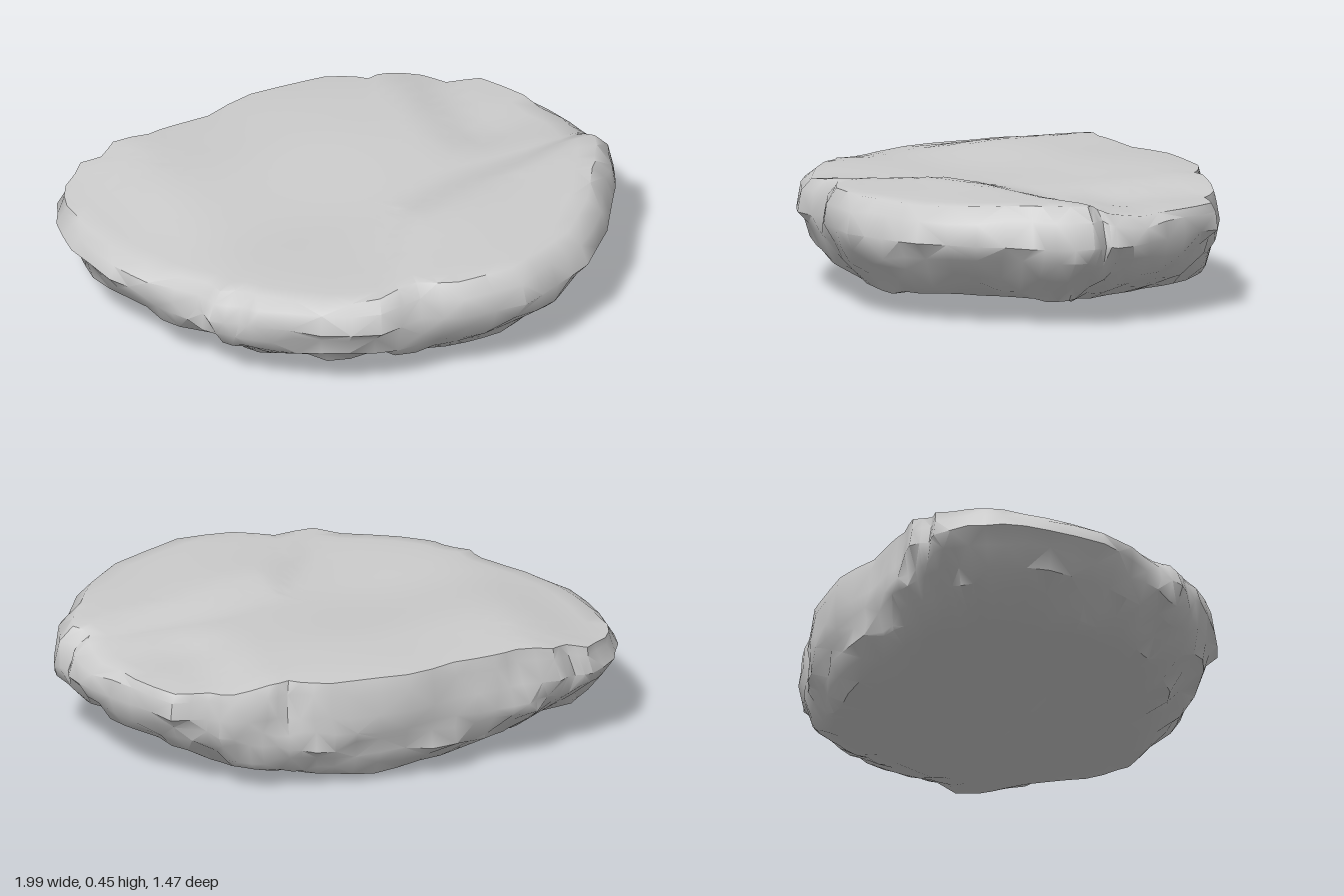
import * as THREE from 'three';
import { toCreasedNormals } from 'three/addons/utils/BufferGeometryUtils.js';

// plan outline of the slab at its widest, as x, z pairs
const OUTLINE = [
  [-1, -0.25], [-0.985, -0.42], [-0.94, -0.54], [-0.83, -0.63], [-0.76, -0.62], [-0.69, -0.67],
  [-0.55, -0.65], [-0.46, -0.67], [-0.3, -0.68], [-0.1, -0.74], [0.13, -0.74], [0.26, -0.71],
  [0.34, -0.655], [0.42, -0.67], [0.55, -0.64], [0.62, -0.575], [0.75, -0.55], [0.85, -0.38],
  [0.94, -0.2], [0.965, -0.06], [0.955, -0.02], [1, 0.04], [0.95, 0.17], [0.9, 0.24],
  [0.8, 0.42], [0.65, 0.59], [0.5, 0.66], [0.35, 0.73], [0.12, 0.73], [-0.03, 0.66],
  [-0.2, 0.695], [-0.4, 0.605], [-0.6, 0.48], [-0.64, 0.42], [-0.73, 0.36], [-0.75, 0.28],
  [-0.88, 0.12], [-0.95, -0.02],
];
// side rings: scale all round, scale along the back, height, roughness
const SIDE = [
  [0.975, 0.985, 0.375, 0.01], [0.995, 0.995, 0.305, 0.012], [0.965, 0.995, 0.245, 0.026],
  [0.915, 0.985, 0.19, 0.03], [0.85, 0.965, 0.14, 0.032], [0.77, 0.93, 0.092, 0.03],
];
// underside rings: scale all round, scale along the back, height above the belly, roughness
const UNDER = [
  [0.66, 0.86, 0.006, 0.026], [0.48, 0.64, 0, 0.03], [0.3, 0.4, 0, 0.02], [0.13, 0.17, 0, 0.01],
];
const TOP_RINGS = 14, SEGMENTS = 76;

const { smoothstep: smooth, lerp } = THREE.MathUtils;

// repeatable pseudo-random value from -1 to 1
function hash(a, b) {
  const s = Math.sin(a * 127.1 + b * 311.7 + 4.3) * 43758.5453;
  return (s - Math.floor(s)) * 2 - 1;
}

// upper face: back plateau, low left rim, low back corner and raised front layer
function topHeight(x, z) {
  const waves = 0.005 * Math.sin(x * 7 + z * 4) * Math.cos(z * 6 - x * 2);
  const left = smooth(x, -0.92, -0.55);
  const plateau = left * lerp(0.02, 0.052, smooth(-z, -0.15, 0.4));
  const corner = 0.042 * smooth(x, 0.36, 0.6) * smooth(-z, 0, 0.25);
  const floor = 0.392 + plateau - corner;
  const crackZ = x < 0.12 ? 0.27 - (x - 0.12) * 1.35 : 0.27 - (x - 0.12) * 0.38;
  const width = lerp(0.2, 0.05, smooth(x, 0.3, 0.85));
  const layer = 0.456 - 0.016 * smooth(z, 0.2, 0.65);
  return lerp(floor, layer, smooth(z - crackZ, -width, 0.05)) + waves;
}

// underside: lowest just behind the middle, rising to the ends and the front
function bellyHeight(x, z) {
  const lumps = 0.009 * Math.sin(x * 11 + z * 4) * Math.cos(z * 10 - x * 5);
  return 0.012 + 0.046 * Math.min(1, Math.abs(x + 0.04) / 0.65) + 0.033 * smooth(z, -0.06, 0.12)
    + 0.018 * smooth(-z, 0.08, 0.5) + lumps;
}

// outline softened by averaging neighbours, so notches in the rim fade out below it
function soften(edge) {
  return edge.map((p, i) => {
    const sum = new THREE.Vector3();
    for (let k = -2; k <= 2; k++) sum.add(edge[(i + k + edge.length) % edge.length]);
    return sum.multiplyScalar(1.01 / 5);
  });
}

function slabGeometry() {
  const outline = new THREE.CatmullRomCurve3(
    OUTLINE.map(([x, z]) => new THREE.Vector3(x, 0, z)), true, 'catmullrom', 0.1);
  // two steps per outline point, so every corner is kept
  const edge = outline.getPoints(SEGMENTS).slice(0, SEGMENTS);
  const softEdge = soften(edge);
  const positions = [], index = [];
  const rings = TOP_RINGS + SIDE.length + UNDER.length;

  // upper face, from the middle out to the rim
  for (let r = 0; r < TOP_RINGS; r++) {
    const t = r / (TOP_RINGS - 1);
    edge.forEach((p, i) => {
      const s = t * (lerp(0.92, 0.965, smooth(-p.z, 0, 0.5)) + 0.008 * hash(i, 90));
      const x = p.x * s, z = p.z * s;
      positions.push(x, topHeight(x, z) - 0.006 * t ** 12, z);
    });
  }
  // chipped sides and rough underside
  [...SIDE, ...UNDER].forEach(([around, back, y, rough], r) => {
    (r < 2 ? edge : softEdge).forEach((p, i) => {
      const chunk = hash(Math.floor((i + r * 2) / 4), r) * 0.5 + hash(Math.floor((i + r) / 2), r + 20) * 0.6;
      const steep = smooth(-p.z, 0.3, 0.65) * (1 - smooth(Math.abs(p.x), 0.4, 0.85));
      const s = lerp(around, back, steep) + chunk * rough;
      const x = p.x * s, z = p.z * s;
      const under = r >= SIDE.length;
      const base = under ? bellyHeight(x, z) : hash(Math.floor((i + r) / 2), r + 50) * rough * 0.6;
      const lift = r === 0 ? (topHeight(x, z) - 0.42) * 0.6 : 0;
      positions.push(x, base + y + lift, z);
    });
  });
  const bottom = positions.length / 3;
  positions.push(0, bellyHeight(0, 0), 0);

  for (let r = 0; r < rings; r++) {
    for (let i = 0; i < SEGMENTS; i++) {
      const j = (i + 1) % SEGMENTS;
      const a = r * SEGMENTS + i, b = r * SEGMENTS + j;
      if (r === rings - 1) { index.push(a, b, bottom); continue; }
      const c = a + SEGMENTS, d = b + SEGMENTS;
      if (r === 0) index.push(b, d, c);
      else if ((i + r) % 2) index.push(a, b, c, b, d, c);
      else index.push(a, b, d, a, d, c);
    }
  }
  const geometry = new THREE.BufferGeometry();
  geometry.setAttribute('position', new THREE.Float32BufferAttribute(positions, 3));
  geometry.setIndex(index);
  // stand the stone on the ground
  geometry.computeBoundingBox();
  geometry.translate(0, -geometry.boundingBox.min.y, 0);
  return toCreasedNormals(geometry, 0.8);
}

export function createModel() {
  const model = new THREE.Group();
  model.name = 'flatRock';
  const stone = new THREE.Mesh(slabGeometry(), new THREE.MeshStandardMaterial({ color: 0xcccccc }));
  stone.name = 'stoneSlab';
  model.add(stone);
  return model;
}
